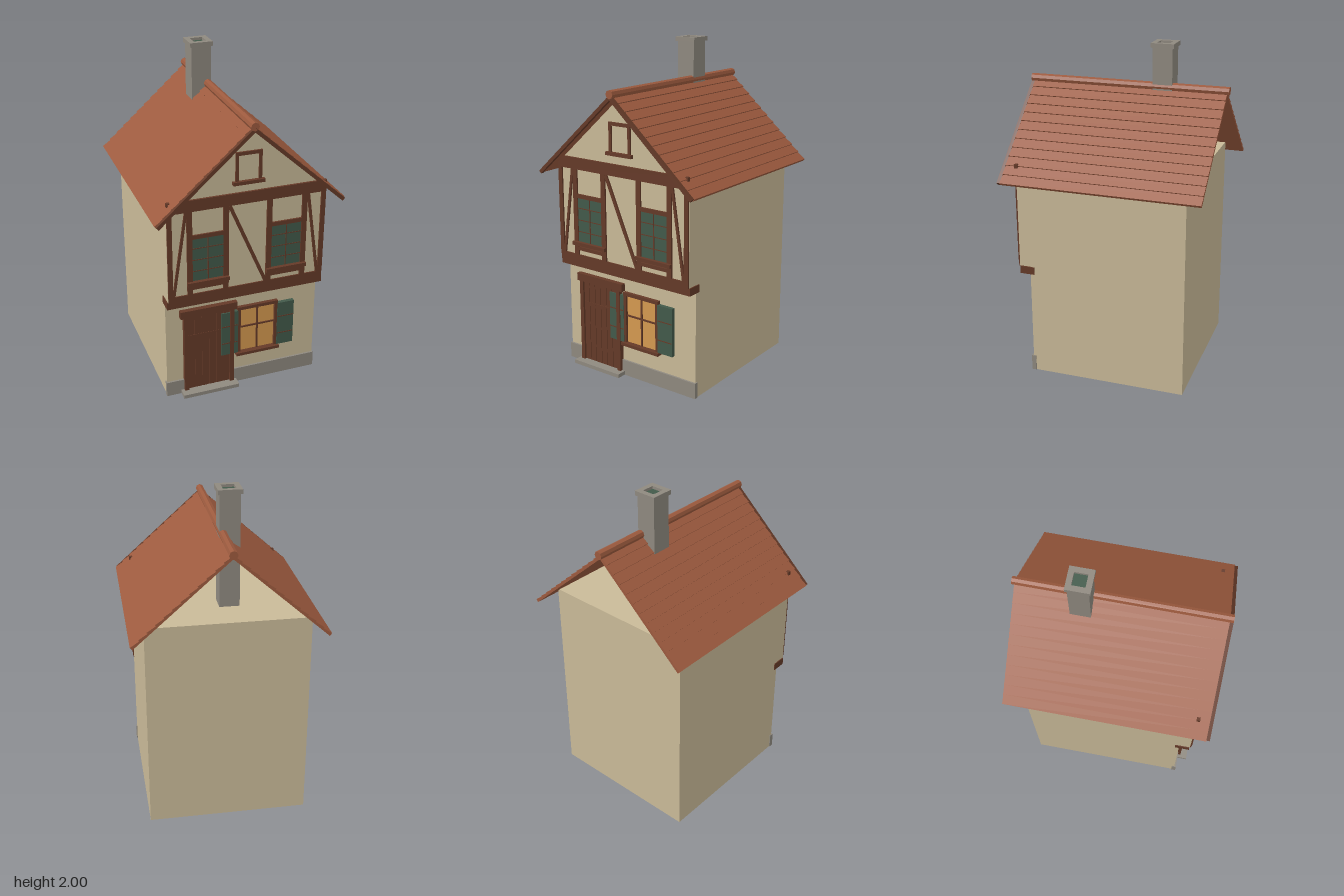
import * as THREE from 'three';

function material(name, color) {
  const m = new THREE.MeshStandardMaterial({ color });
  m.name = name;
  return m;
}

export function createModel() {
  const plaster = material('plaster', 0xc9ba98);
  const wood = material('timber', 0x653a28);
  const roofTile = material('roofTile', 0x9c5a3e);
  const stone = material('stone', 0x8f897f);
  const green = material('shutterGreen', 0x425a4a);
  const glow = material('litGlass', 0xd59a50);

  const house = new THREE.Group();
  house.name = 'house';

  const add = (name, geometry, mat, parent = house) => {
    const mesh = new THREE.Mesh(geometry, mat);
    mesh.name = name;
    parent.add(mesh);
    return mesh;
  };
  // Box given by its extents on each axis
  const box = (name, mat, x0, x1, y0, y1, z0, z1) => {
    const g = new THREE.BoxGeometry(x1 - x0, y1 - y0, z1 - z0);
    g.translate((x0 + x1) / 2, (y0 + y1) / 2, (z0 + z1) / 2);
    return add(name, g, mat);
  };
  // Outline extruded from z0 to z1
  const prism = (name, mat, points, z0, z1) => {
    const shape = new THREE.Shape(points.map(([x, y]) => new THREE.Vector2(x, y)));
    const g = new THREE.ExtrudeGeometry(shape, { depth: z1 - z0, bevelEnabled: false });
    return add(name, g.translate(0, 0, z0), mat);
  };
  // Slanted timber between two points on the front
  const brace = (name, x0, y0, x1, y1, w) => {
    const len = Math.hypot(x1 - x0, y1 - y0);
    const m = add(name, new THREE.BoxGeometry(w, len, 0.012), wood);
    m.position.set((x0 + x1) / 2, (y0 + y1) / 2, 0.527);
    m.rotation.z = -Math.atan2(x1 - x0, y1 - y0);
  };

  // Walls: ground floor, jettied upper floor, front gable
  box('groundFloor', plaster, -0.48, 0.48, 0, 0.7, -0.5, 0.456);
  box('upperFloor', plaster, -0.48, 0.48, 0.7, 1.3, -0.5, 0.523);
  prism('frontGable', plaster, [[-0.48, 1.3], [0.48, 1.3], [0, 1.72]], 0.5, 0.523);
  box('plinth', stone, -0.485, 0.485, 0, 0.097, 0.44, 0.468);
  box('doorstep', stone, -0.395, -0.04, 0.002, 0.026, 0.45, 0.53);

  // Door with planks, posts and lintel
  box('doorPanel', wood, -0.355, -0.08, 0.026, 0.545, 0.45, 0.469);
  for (let i = 0; i < 6; i++) {
    const x = -0.35 + i * 0.045;
    box('doorPlank', wood, x, x + 0.04, 0.028, 0.54, 0.465, 0.473);
  }
  box('doorRail', wood, -0.35, -0.085, 0.405, 0.415, 0.465, 0.475);
  for (const x of [-0.375, -0.085]) box('doorPost', wood, x, x + 0.026, 0.026, 0.55, 0.45, 0.486);
  box('doorLintel', wood, -0.395, -0.04, 0.545, 0.593, 0.45, 0.486);

  // Lit ground floor window
  box('litPane', glow, -0.02, 0.21, 0.225, 0.53, 0.45, 0.462);
  for (const x of [-0.035, 0.205]) box('windowJamb', wood, x, x + 0.02, 0.225, 0.53, 0.45, 0.478);
  box('windowHead', wood, -0.035, 0.225, 0.525, 0.545, 0.45, 0.478);
  box('windowSill', wood, -0.045, 0.235, 0.207, 0.226, 0.45, 0.495);
  box('windowMullion', wood, 0.09, 0.1, 0.225, 0.53, 0.455, 0.47);
  box('windowTransom', wood, -0.02, 0.21, 0.393, 0.403, 0.455, 0.469);
  for (const x of [-0.14, 0.222]) {
    box('shutter', green, x, x + 0.108, 0.225, 0.525, 0.456, 0.48);
    for (const y of [0.305, 0.425]) box('shutterBatten', wood, x + 0.003, x + 0.105, y, y + 0.006, 0.476, 0.482);
  }

  // Horizontal beams of the upper floor
  box('jettyBeam', wood, -0.485, 0.485, 0.652, 0.698, 0.43, 0.52);
  box('sillBeam', wood, -0.478, 0.478, 0.698, 0.735, 0.5, 0.53);
  box('topBeam', wood, -0.478, 0.478, 1.265, 1.335, 0.515, 0.536);

  // Framing and windows, mirrored on both sides
  for (const s of [-1, 1]) {
    const side = (name, mat, a, b, ...rest) => box(name, mat, Math.min(a * s, b * s), Math.max(a * s, b * s), ...rest);
    side('cornerPost', wood, 0.45, 0.478, 0.735, 1.265, 0.515, 0.533);
    for (const x of [0.115, 0.332]) side('windowPost', wood, x, x + 0.032, 0.735, 1.265, 0.515, 0.533);
    side('upperPane', green, 0.147, 0.332, 0.815, 1.095, 0.515, 0.527);
    side('upperMullion', wood, 0.236, 0.241, 0.815, 1.095, 0.52, 0.531);
    for (const y of [0.88, 0.952, 1.025]) side('upperBar', wood, 0.147, 0.332, y, y + 0.005, 0.52, 0.529);
    side('upperHead', wood, 0.147, 0.332, 1.09, 1.115, 0.515, 0.533);
    side('upperSill', wood, 0.115, 0.366, 0.798, 0.82, 0.515, 0.55);
    side('apronRail', wood, 0.147, 0.332, 0.765, 0.787, 0.515, 0.533);
    brace('cornerBrace', 0.446 * s, 0.735, 0.368 * s, 1.265, 0.016);
  }
  brace('middleBrace', -0.11, 1.262, 0.115, 0.737, 0.02);

  // Blind attic window
  for (const x of [-0.078, 0.06]) box('atticJamb', wood, x, x + 0.018, 1.4, 1.575, 0.515, 0.533);
  box('atticHead', wood, -0.078, 0.078, 1.557, 1.577, 0.515, 0.534);
  box('atticSill', wood, -0.095, 0.093, 1.385, 1.405, 0.515, 0.545);

  // Roof slopes with overlapping tile rows
  const ridgeY = 1.738, run = 0.56, drop = 0.502, rows = 12;
  const slope = Math.hypot(run, drop);
  const at = (t, n, s) => [s * (t * run + n * drop / slope), ridgeY - t * drop + n * run / slope];
  for (const s of [-1, 1]) {
    const outline = [at(0, -0.014, s)];
    for (let i = 0; i < rows; i++) outline.push(at(i / rows, 0, s), at((i + 1) / rows, 0.008, s));
    outline.push(at(1, -0.012, s));
    prism('roofSlope', roofTile, outline, -0.603, 0.592);
    prism('bargeboard', wood, [at(0, -0.018, s), at(0, 0.003, s), at(0.995, 0.003, s), at(0.995, -0.018, s)], 0.592, 0.612);
  }
  const ridge = new THREE.CylinderGeometry(0.025, 0.025, 1.228, 8).toNonIndexed();
  ridge.computeVertexNormals();
  ridge.rotateX(Math.PI / 2).translate(0, 1.745, -0.002);
  add('ridgeCap', ridge, roofTile);

  // Chimney with a hollow cap
  box('chimneyShaft', stone, -0.1, 0.02, 1.3, 1.975, -0.278, -0.158);
  const cap = new THREE.Shape([[-0.07, -0.07], [0.07, -0.07], [0.07, 0.07], [-0.07, 0.07]].map(p => new THREE.Vector2(...p)));
  cap.holes.push(new THREE.Path([[-0.038, -0.038], [-0.038, 0.038], [0.038, 0.038], [0.038, -0.038]].map(p => new THREE.Vector2(...p))));
  const capGeo = new THREE.ExtrudeGeometry(cap, { depth: 0.027, bevelEnabled: false });
  capGeo.rotateX(-Math.PI / 2).translate(-0.04, 1.973, -0.218);
  add('chimneyCap', capGeo, stone);
  box('chimneyFlue', green, -0.079, -0.001, 1.975, 1.984, -0.257, -0.179);

  return house;
}
